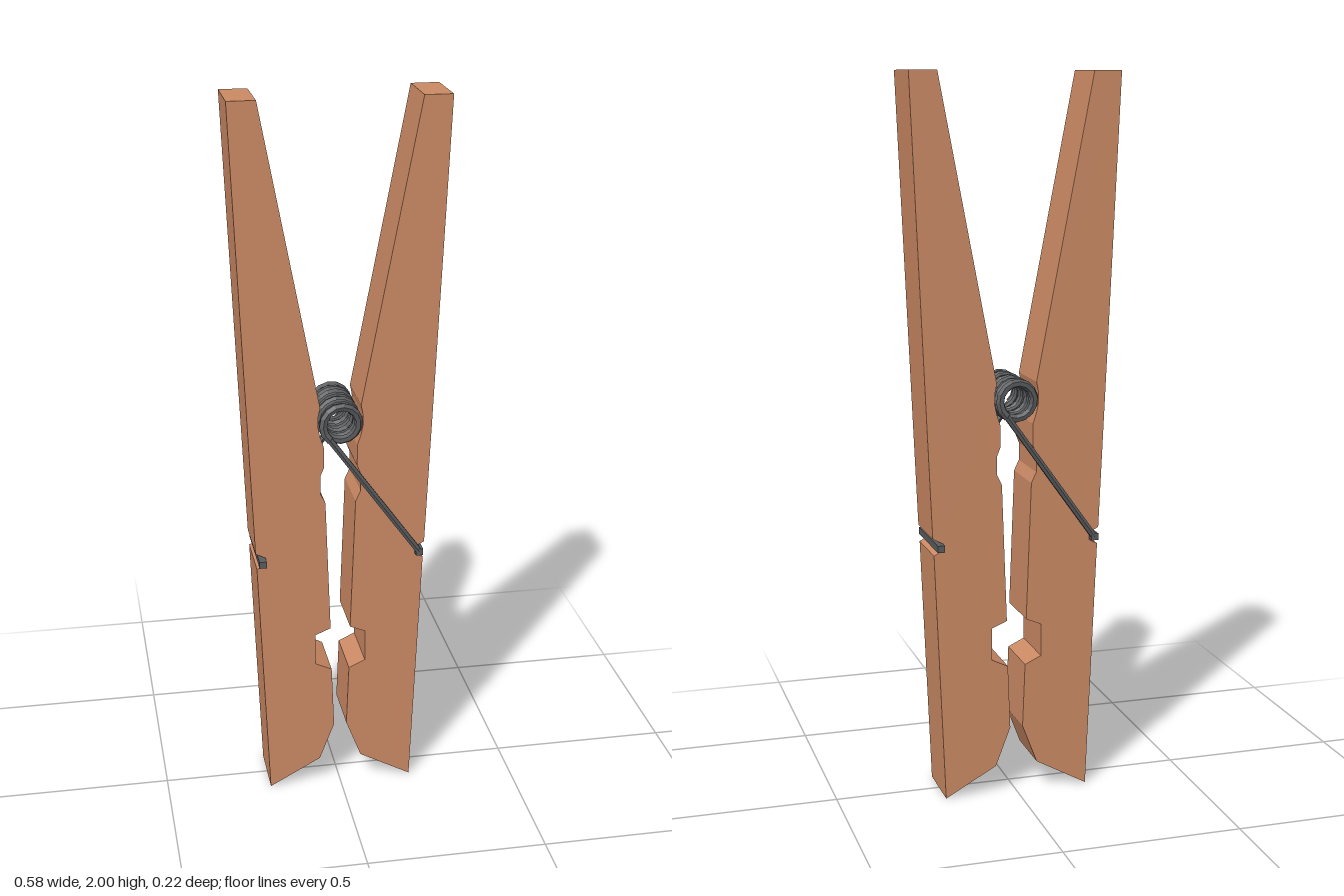
import * as THREE from 'three';

const wood = new THREE.MeshStandardMaterial({ color: 0xcc8a65, flatShading: true });
wood.name = 'wood';
const steel = new THREE.MeshStandardMaterial({ color: 0x5a5c5e, flatShading: true });
steel.name = 'steel';

const COIL_Y = 1.125, COIL_R = 0.05, WIRE = 0.011, COIL_END = 0.097, HOOK_Y = 0.735;

// Helix around z, running clockwise from the front leg to the back leg
class Helix extends THREE.Curve {
  getPoint(t, target = new THREE.Vector3()) {
    const a = Math.PI * (1.28 - 13.56 * t);
    return target.set(Math.cos(a) * COIL_R, COIL_Y + Math.sin(a) * COIL_R, COIL_END * (1 - 2 * t));
  }
}

// Straight wire between two points
function rod(name, a, b, radius, sides) {
  const dir = b.clone().sub(a);
  const mesh = new THREE.Mesh(new THREE.CylinderGeometry(radius, radius, dir.length(), sides), steel);
  mesh.name = name;
  mesh.position.copy(a).add(b).multiplyScalar(0.5);
  mesh.quaternion.setFromUnitVectors(new THREE.Vector3(0, 1, 0), dir.normalize());
  return mesh;
}

// One wooden half, with its spring seat, clamping notch and outer wire groove
function makeJaw() {
  const profile = [
    [0.205, 0.005], [0.234, 0.71], [0.211, 0.722], [0.211, 0.744], [0.237, 0.757],
    [0.29, 2], [0.214, 2], [0.056, 1.175], [0.061, 1.15], [0.062, 1.12], [0.056, 1.09],
    [0.046, 1.06], [0.046, 1.0], [0.056, 0.975], [0.056, 0.925], [0.042, 0.895],
    [0.028, 0.508], [0.071, 0.49], [0.071, 0.398], [0.025, 0.376], [0.018, 0.195], [0.06, 0.085],
  ];
  const shape = new THREE.Shape(profile.map(([x, y]) => new THREE.Vector2(x, y)));
  const geometry = new THREE.ExtrudeGeometry(shape, { depth: 0.164, bevelEnabled: false });
  geometry.translate(0, 0, -0.082);
  const mesh = new THREE.Mesh(geometry, wood);
  mesh.name = 'woodenJaw';
  return mesh;
}

// Spring leg down one side, and the hook lying in the outer groove
function makeSpringArm() {
  const arm = new THREE.Group();
  arm.name = 'springArm';
  const start = new Helix().getPoint(0);
  arm.add(rod('springLeg', start, new THREE.Vector3(0.22, HOOK_Y, 0.095), 0.0095, 6));
  const hook = new THREE.Mesh(new THREE.BoxGeometry(0.02, 0.019, 0.214), steel);
  hook.name = 'springHook';
  hook.position.set(0.22, HOOK_Y, -0.003);
  arm.add(hook);
  return arm;
}

export function createModel() {
  const model = new THREE.Group();
  model.name = 'clothespin';

  // The second half is the first turned half round
  ['left', 'right'].forEach((side, i) => {
    const half = new THREE.Group();
    half.name = side + 'Half';
    half.add(makeJaw(), makeSpringArm());
    half.rotation.y = i * Math.PI;
    model.add(half);
  });

  const coil = new THREE.Mesh(new THREE.TubeGeometry(new Helix(), 100, WIRE + 0.001, 6), steel);
  coil.name = 'springCoil';
  model.add(coil);
  return model;
}
